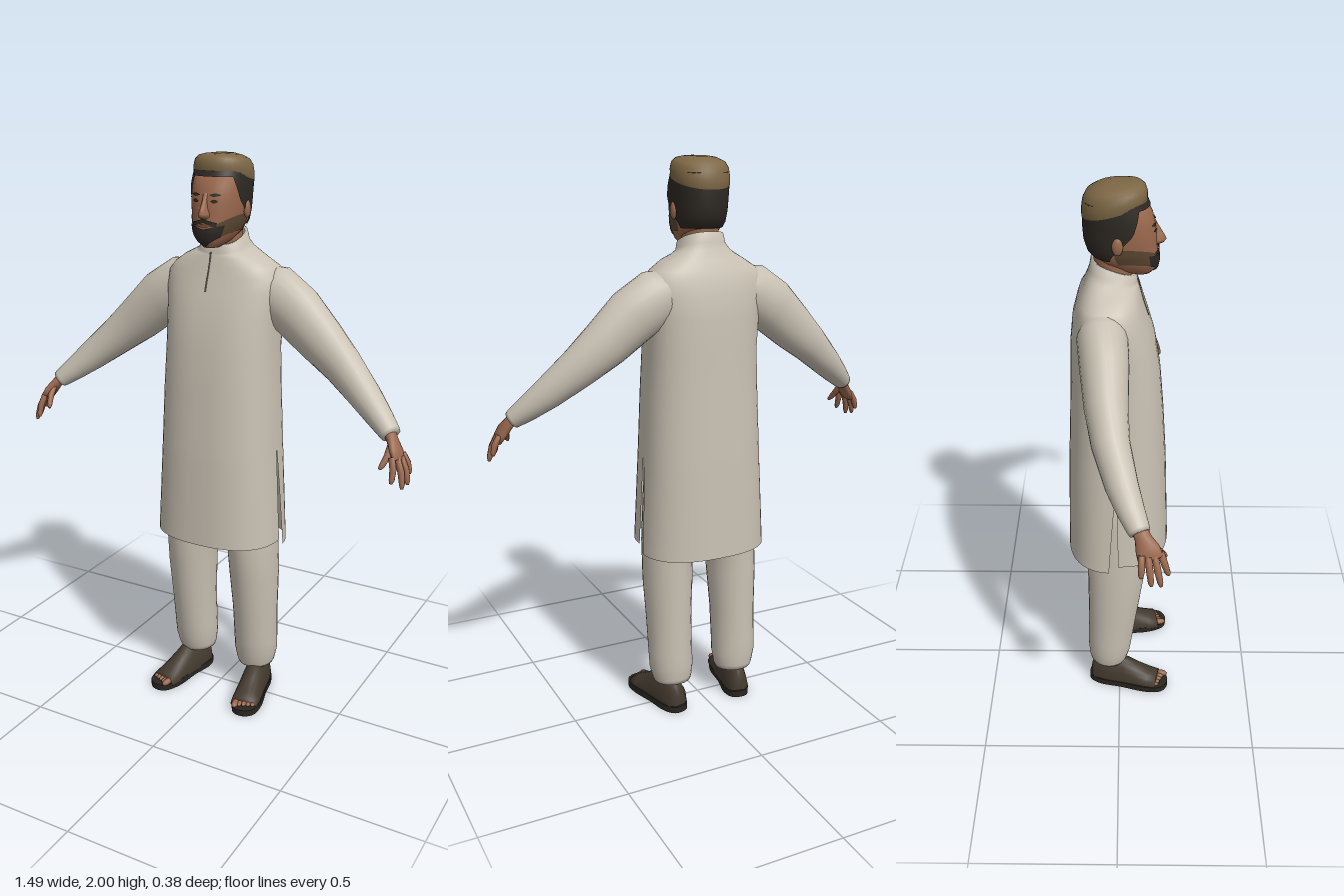
import * as THREE from 'three';
import { mergeVertices, mergeGeometries } from 'three/addons/utils/BufferGeometryUtils.js';

const V = (x, y, z) => new THREE.Vector3(x, y, z);
const TAU = Math.PI * 2, DEG = Math.PI / 180;
const material = (name, color, side = THREE.DoubleSide) => {
  const m = new THREE.MeshStandardMaterial({ color, side });
  m.name = name;
  return m;
};

// Smooth skin over rows of points, optionally closed at the ends
function skinRows(rows, capStart = false, capEnd = false) {
  const n = rows[0].length, pts = rows.flat(), index = [];
  for (let i = 0; i < rows.length - 1; i++) {
    for (let j = 0; j < n - 1; j++) {
      const a = i * n + j, b = a + n;
      index.push(a, b, a + 1, a + 1, b, b + 1);
    }
  }
  const cap = (r, flip) => {
    const c = rows[r].slice(0, -1).reduce((s, p) => s.add(p), V(0, 0, 0)).divideScalar(n - 1);
    const k = pts.push(c) - 1;
    for (let j = 0; j < n - 1; j++) {
      const a = r * n + j;
      index.push(k, ...(flip ? [a, a + 1] : [a + 1, a]));
    }
  };
  if (capStart) cap(0, true);
  if (capEnd) cap(rows.length - 1, false);
  const g = new THREE.BufferGeometry().setFromPoints(pts);
  g.setIndex(index);
  return g;
}
const smooth = (g) => {
  const m = mergeVertices(g, 1e-5);
  m.computeVertexNormals();
  return m;
};

// Point on a rounded section [y, half width, front z, back z, centre z, slope]
const power = (v, n) => Math.sign(v) * Math.abs(v) ** (2 / n);
function sectionPoint([y, rx, zf, zb, cz = 0, slope = 0], a, n = 2.2, off = 0) {
  const s = Math.sin(a), dz = (s > 0 ? zf - cz : cz - zb) + off;
  const z = power(s, n) * dz;
  return V(power(Math.cos(a), n) * (rx + off), y + slope * z, cz + z);
}
const arc = (sec, a0, a1, count, n) =>
  Array.from({ length: count + 1 }, (_, j) => sectionPoint(sec, a0 + (a1 - a0) * j / count, n));
const loft = (secs, n, c0, c1) => smooth(skinRows(secs.map((s) => arc(s, 0, TAU, 32, n)), c0, c1));

// Tapered limb along points [x, y, z, radius along ref, radius across]
function limb(path, ref, sides = 16) {
  const at = (i) => V(...path[THREE.MathUtils.clamp(i, 0, path.length - 1)].slice(0, 3));
  const rows = path.map(([, , , r1, r2 = r1], i) => {
    const d = at(i + 1).sub(at(i - 1)).normalize();
    const u = ref.clone().addScaledVector(d, -ref.dot(d)).normalize(), v = u.clone().cross(d);
    return Array.from({ length: sides + 1 }, (_, j) => {
      const a = (j % sides) / sides * TAU;
      return at(i).addScaledVector(u, Math.cos(a) * r1).addScaledVector(v, Math.sin(a) * r2);
    });
  });
  return smooth(skinRows(rows, true, true));
}

function mirrored(g) {
  const m = g.clone().scale(-1, 1, 1), ix = m.index.array;
  for (let i = 0; i < ix.length; i += 3) [ix[i], ix[i + 1]] = [ix[i + 1], ix[i]];
  m.computeVertexNormals();
  return m;
}

// Head sections, bottom to top
const HEAD = [
  [1.7, 0.025, 0.098, 0.04, 0.06], [1.72, 0.052, 0.118, -0.02, 0.04], [1.75, 0.072, 0.124, -0.07, 0.01],
  [1.78, 0.083, 0.121, -0.1, 0], [1.82, 0.089, 0.117, -0.112, 0], [1.86, 0.092, 0.114, -0.115, 0],
  [1.9, 0.093, 0.104, -0.115, -0.01], [1.95, 0.09, 0.08, -0.112, -0.02],
];
function headPoint(a, y, off) {
  let i = 0;
  while (i < HEAD.length - 2 && y > HEAD[i + 1][0]) i++;
  const t = (y - HEAD[i][0]) / (HEAD[i + 1][0] - HEAD[i][0]);
  return sectionPoint(HEAD[i].map((v, k) => v + (HEAD[i + 1][k] - v) * t), a, 2.2, off);
}
// Thin layer on the head between two height curves, angles in degrees
function facePatch(a0, a1, lo, hi, off, cols = 16, steps = 6) {
  const rows = Array.from({ length: steps + 1 }, (_, i) => Array.from({ length: cols + 1 }, (_, j) => {
    const u = j / cols, a = (a0 + (a1 - a0) * u) * DEG, l = lo(a, u);
    return headPoint(a, l + (hi(a, u) - l) * i / steps, off);
  }));
  return smooth(skinRows(rows));
}
const almond = (a0, a1, y, h, off) => facePatch(a0, a1,
  (a, u) => y - h * Math.sin(Math.PI * u), (a, u) => y + h * Math.sin(Math.PI * u), off, 10, 2);

export function createModel() {
  const group = new THREE.Group();
  const cloth = material('cream cloth', 0xc9c1b3), skin = material('skin', 0x9a684d);
  const hair = material('dark hair', 0x2d2822), stubble = material('stubble', 0x5c4732);
  const felt = material('brown felt', 0x7d6745), leather = material('dark leather', 0x443a2f);
  const rubber = material('black sole', 0x2a2621), lip = material('lips', 0x7c4a3b);
  const seam = material('shadowed seam', 0x77705f);
  const add = (name, g, mat) => {
    const m = new THREE.Mesh(g, mat);
    m.name = name;
    group.add(m);
  };
  const pair = (name, g, mat) => {
    add('left ' + name, g, mat);
    add('right ' + name, mirrored(g), mat);
  };

  // Tunic: front and back halves, joined above the side slits
  const upper = [
    [1.0, 0.216, 0.164, -0.182, -0.01], [1.2, 0.208, 0.151, -0.174, -0.01], [1.35, 0.202, 0.138, -0.169, -0.015],
    [1.47, 0.207, 0.118, -0.166, -0.03], [1.55, 0.217, 0.094, -0.158, -0.045], [1.6, 0.214, 0.078, -0.145, -0.05],
    [1.63, 0.19, 0.07, -0.136, -0.05], [1.66, 0.145, 0.062, -0.122, -0.04],
    [1.685, 0.098, 0.058, -0.108, -0.03, -0.15], [1.7, 0.082, 0.057, -0.1, -0.025, -0.28],
    [1.73, 0.075, 0.055, -0.094, -0.02, -0.35], [1.728, 0.066, 0.046, -0.085, -0.02, -0.35],
  ];
  const half = (front) => {
    const hem = front ? 0.65 : 0.62, rows = [];
    for (let i = 0; i < 6; i++) {
      const t = 1 - i / 6, gap = (front ? 0.01 : 0.1) * t;
      const sec = [1 - (1 - hem) * t, 0.216 + 0.019 * t, 0.164 + 0.013 * t, -0.182 - 0.008 * t, -0.01];
      rows.push(front ? arc(sec, gap, Math.PI - gap, 24, 2.5) : arc(sec, Math.PI + gap, TAU - gap, 24, 2.5));
    }
    upper.forEach((s) => rows.push(front ? arc(s, 0, Math.PI, 24, 2.5) : arc(s, Math.PI, TAU, 24, 2.5)));
    return skinRows(rows);
  };
  add('tunic', smooth(mergeGeometries([half(true), half(false)])), cloth);
  const slit = new THREE.CatmullRomCurve3([V(-0.01, 1.68, 0.057), V(-0.01, 1.63, 0.069), V(-0.012, 1.59, 0.081), V(-0.012, 1.55, 0.094)]);
  add('neck opening', new THREE.TubeGeometry(slit, 10, 0.003, 6), seam);

  // Sleeves
  pair('sleeve', limb([
    [0.1, 1.58, -0.055, 0.06, 0.06], [0.175, 1.545, -0.055, 0.097, 0.083], [0.265, 1.485, -0.047, 0.097, 0.079],
    [0.36, 1.4, -0.04, 0.085, 0.07], [0.45, 1.325, -0.025, 0.07, 0.061], [0.55, 1.24, 0.01, 0.055, 0.052],
    [0.61, 1.19, 0.038, 0.044, 0.044], [0.655, 1.153, 0.062, 0.034, 0.036], [0.663, 1.146, 0.066, 0.031, 0.033],
  ], V(0, 1, 0), 24), cloth);

  // Hands
  pair('palm', limb([
    [0.645, 1.165, 0.06, 0.022, 0.026], [0.67, 1.135, 0.075, 0.018, 0.026],
    [0.69, 1.105, 0.09, 0.018, 0.038], [0.705, 1.078, 0.1, 0.013, 0.04],
  ], V(1, 0.5, 0)), skin);
  const fingers = [
    [[0.69, 1.095, 0.13], [0.7, 1.015, 0.155]], [[0.702, 1.09, 0.112], [0.73, 0.995, 0.132]],
    [[0.708, 1.09, 0.092], [0.738, 1.002, 0.102]], [[0.706, 1.095, 0.072], [0.732, 1.028, 0.07]],
    [[0.672, 1.125, 0.092], [0.657, 1.055, 0.148]],
  ];
  fingers.forEach(([a, b], i) => {
    const p = (t, r, bow = 0) => [...a.map((v, k) => v + (b[k] - v) * t + (k === 0 ? bow : 0)), r];
    pair(i < 4 ? 'finger ' + (i + 1) : 'thumb',
      limb([p(0, 0.011), p(0.45, 0.0115, 0.006), p(0.85, 0.0095, 0.003), p(1, 0.005)], V(1, 0.3, 0), 10), skin);
  });

  // Trousers
  pair('trouser leg', limb([
    [0.128, 0.11, -0.045, 0.068, 0.068], [0.128, 0.125, -0.044, 0.073, 0.073], [0.13, 0.17, -0.04, 0.081, 0.081],
    [0.131, 0.22, -0.036, 0.081, 0.084], [0.132, 0.35, -0.026, 0.082, 0.092], [0.131, 0.5, -0.016, 0.089, 0.103],
    [0.127, 0.64, -0.006, 0.09, 0.112], [0.108, 0.78, -0.005, 0.102, 0.118], [0.1, 0.98, -0.01, 0.1, 0.12],
  ], V(1, 0, 0), 24), cloth);

  // Sandals, turned slightly outwards
  const place = (g) => g.rotateY(0.2).translate(0.153, 0, 0.035);
  const outline = new THREE.Shape();
  outline.setFromPoints(new THREE.CatmullRomCurve3([
    V(0, 0.157, 0), V(-0.035, 0.14, 0), V(-0.052, 0.08, 0), V(-0.046, -0.02, 0), V(-0.047, -0.11, 0), V(-0.025, -0.15, 0),
    V(0.025, -0.15, 0), V(0.047, -0.11, 0), V(0.05, -0.02, 0), V(0.056, 0.08, 0), V(0.04, 0.14, 0),
  ], true).getPoints(44).map((p) => new THREE.Vector2(p.x, -p.y)));
  const sole = mergeVertices(new THREE.ExtrudeGeometry(outline, { depth: 0.024, bevelEnabled: false }));
  pair('sandal sole', place(sole.rotateX(-Math.PI / 2)), rubber);
  const upperShoe = limb([
    [0, 0.02, -0.146, 0.05, 0.022], [0, 0.02, -0.13, 0.085, 0.04], [0, 0.02, -0.08, 0.105, 0.047],
    [0, 0.02, -0.02, 0.1, 0.048], [0, 0.02, 0.03, 0.072, 0.05], [0, 0.02, 0.08, 0.045, 0.053],
    [0, 0.02, 0.115, 0.032, 0.051],
  ], V(0, 1, 0), 24);
  const pos = upperShoe.attributes.position;
  for (let i = 0; i < pos.count; i++) pos.setY(i, Math.max(pos.getY(i), 0.015));
  upperShoe.computeVertexNormals();
  pair('sandal upper', place(upperShoe), leather);
  for (let i = 0; i < 5; i++) {
    const r = i === 0 ? 0.013 : 0.009;
    const toe = new THREE.SphereGeometry(r, 10, 8).scale(1, 0.9, 2).translate(-0.03 + i * 0.016, 0.03, 0.125 - i * 0.004);
    pair('toe ' + (i + 1), place(toe), skin);
  }

  // Head, neck, nose and ears
  add('neck', loft([[1.66, 0.064, 0.045, -0.085, -0.02], [1.74, 0.062, 0.05, -0.085, -0.02], [1.8, 0.065, 0.05, -0.09, -0.02]], 2), skin);
  add('head', loft(HEAD, 2.2, true, true), skin);
  add('nose', loft([
    [1.797, 0.012, 0.128, 0.09, 0.1], [1.804, 0.021, 0.14, 0.09, 0.1], [1.814, 0.02, 0.148, 0.09, 0.1],
    [1.832, 0.013, 0.138, 0.09, 0.1], [1.858, 0.01, 0.122, 0.09, 0.1], [1.88, 0.012, 0.11, 0.09, 0.1],
  ], 2, true, true), skin);
  pair('ear', new THREE.SphereGeometry(1, 12, 10).scale(0.011, 0.03, 0.018).translate(0.093, 1.822, -0.008), skin);

  // Hair, beard and face details
  const nape = (a) => {
    const s = Math.sin(a);
    return s < -0.35 ? 1.765 : s < 0.3 ? 1.765 + (s + 0.35) / 0.65 * 0.09 : 1.855 + Math.min(1, (s - 0.3) / 0.35) * 0.075;
  };
  add('hair', facePatch(-270, 90, nape, () => 1.948, 0.005, 72, 10), hair);
  const jaw = (a) => 1.703 + 0.05 * Math.abs(Math.cos(a));
  add('jaw stubble', facePatch(-8, 188, jaw, (a) => jaw(a) + 0.055, 0.002, 40), stubble);
  add('chin beard', facePatch(45, 135, jaw, (a) => 1.764 + 0.02 * Math.abs(Math.cos(a)), 0.005, 24), hair);
  add('moustache', facePatch(62, 118, (a) => 1.785 - 0.03 * Math.abs(Math.cos(a)), (a) => 1.797 - 0.025 * Math.abs(Math.cos(a)), 0.005, 16, 2), hair);
  add('mouth', almond(72, 108, 1.776, 0.006, 0.004), lip);
  pair('eye', almond(63, 79, 1.854, 0.006, 0.003), hair);
  pair('eyebrow', almond(58, 82, 1.874, 0.005, 0.004), hair);

  // Cap, lower at the back
  add('cap', loft([
    [1.92, 0.094, 0.082, -0.117, -0.02, 0.27], [1.92, 0.098, 0.087, -0.122, -0.02, 0.27], [1.945, 0.099, 0.086, -0.122, -0.02, 0.25],
    [1.968, 0.095, 0.08, -0.118, -0.02, 0.2], [1.984, 0.084, 0.068, -0.106, -0.02, 0.15],
    [1.994, 0.06, 0.045, -0.08, -0.02, 0.1], [1.999, 0.03, 0.012, -0.05, -0.02, 0.04],
  ], 2.1, false, true), felt);

  return group;
}
